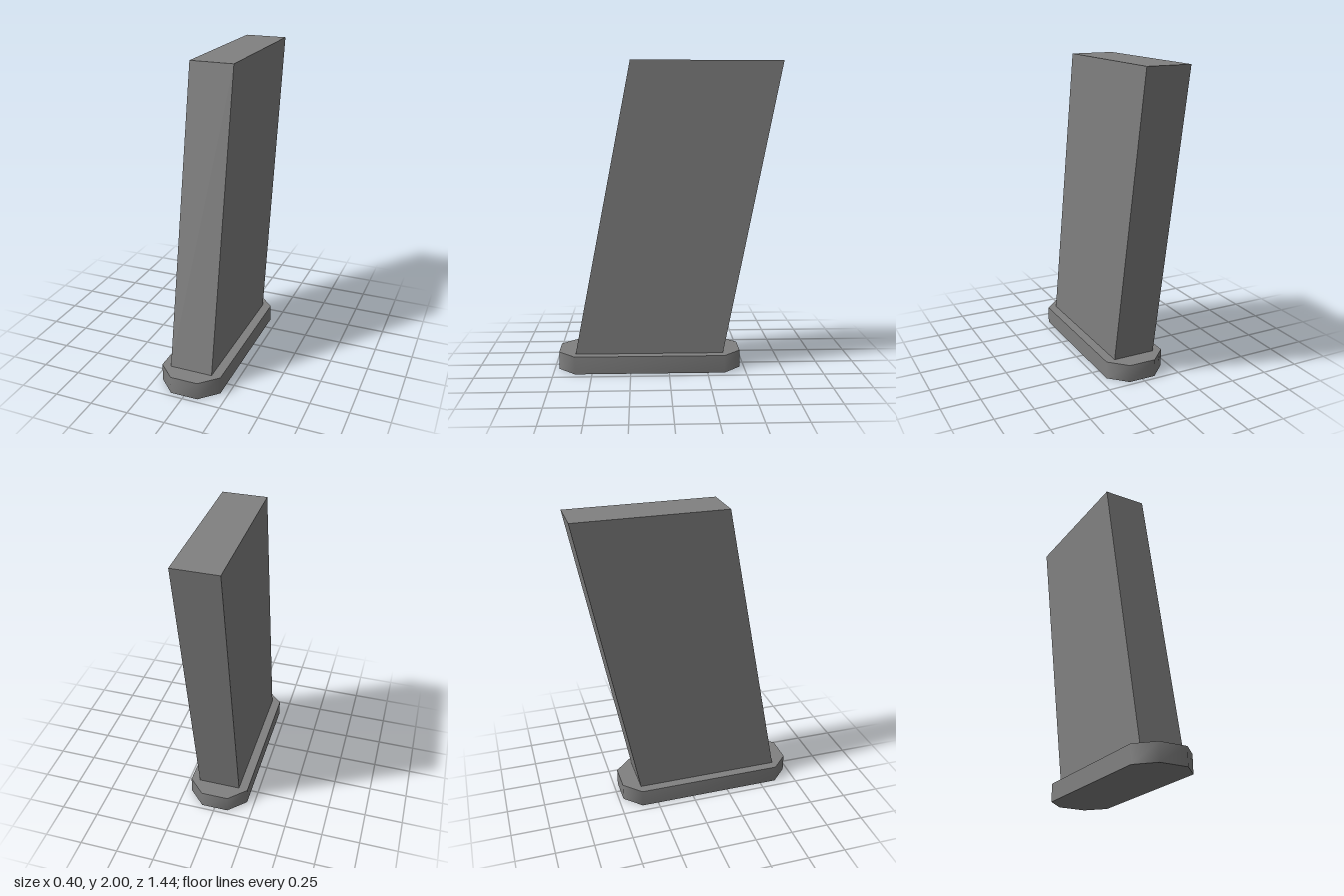
import * as THREE from 'three';
import { mergeVertices } from 'three/addons/utils/BufferGeometryUtils.js';

const BASE_HEIGHT = 0.115;

// Outline of the foot plate as [x, z], chamfered at all four corners
const OUTLINE = [
  [0.09, 0.72], [0.2, 0.61], [0.2, -0.36], [0.09, -0.47],
  [-0.09, -0.47], [-0.2, -0.36], [-0.2, 0.61], [-0.09, 0.72],
];

// Flat cap on the outline, facing up or down
function cap(y, up) {
  const points = OUTLINE.map(([x, z]) => new THREE.Vector2(x, up ? -z : z));
  const geometry = new THREE.ShapeGeometry(new THREE.Shape(points));
  geometry.rotateX(up ? -Math.PI / 2 : Math.PI / 2);
  return geometry.translate(0, y, 0);
}

// Wall around the outline, smoothly shaded round the corners
function wall() {
  let geometry = new THREE.CylinderGeometry(1, 1, BASE_HEIGHT, OUTLINE.length, 1, true);
  const position = geometry.attributes.position;
  const columns = OUTLINE.length + 1;
  for (let i = 0; i < position.count; i++) {
    const [x, z] = OUTLINE[(i % columns) % OUTLINE.length];
    position.setXYZ(i, x, i < columns ? BASE_HEIGHT : 0, z);
  }
  geometry.deleteAttribute('normal');
  geometry.deleteAttribute('uv');
  geometry = mergeVertices(geometry);
  geometry.computeVertexNormals();
  return geometry;
}

// Box sheared backwards as it rises
function slantedBody() {
  const height = 2 - BASE_HEIGHT;
  const geometry = new THREE.BoxGeometry(0.28, height, 0.963);
  geometry.translate(0, height / 2, 0);
  const position = geometry.attributes.position;
  for (let i = 0; i < position.count; i++) {
    const rise = position.getY(i) / height;
    position.setZ(i, position.getZ(i) + 0.127 - 0.366 * rise);
  }
  geometry.translate(0, BASE_HEIGHT, 0);
  geometry.computeVertexNormals();
  return geometry;
}

export function createModel() {
  const model = new THREE.Group();
  model.name = 'magazine';
  const grey = new THREE.MeshStandardMaterial({ color: 0x808080 });
  grey.name = 'grey';

  const add = (parent, name, geometry) => {
    const mesh = new THREE.Mesh(geometry, grey);
    mesh.name = name;
    parent.add(mesh);
  };

  add(model, 'body', slantedBody());

  const base = new THREE.Group();
  base.name = 'footPlate';
  add(base, 'footPlateWall', wall());
  add(base, 'footPlateTop', cap(BASE_HEIGHT, true));
  add(base, 'footPlateBottom', cap(0, false));
  model.add(base);

  return model;
}
